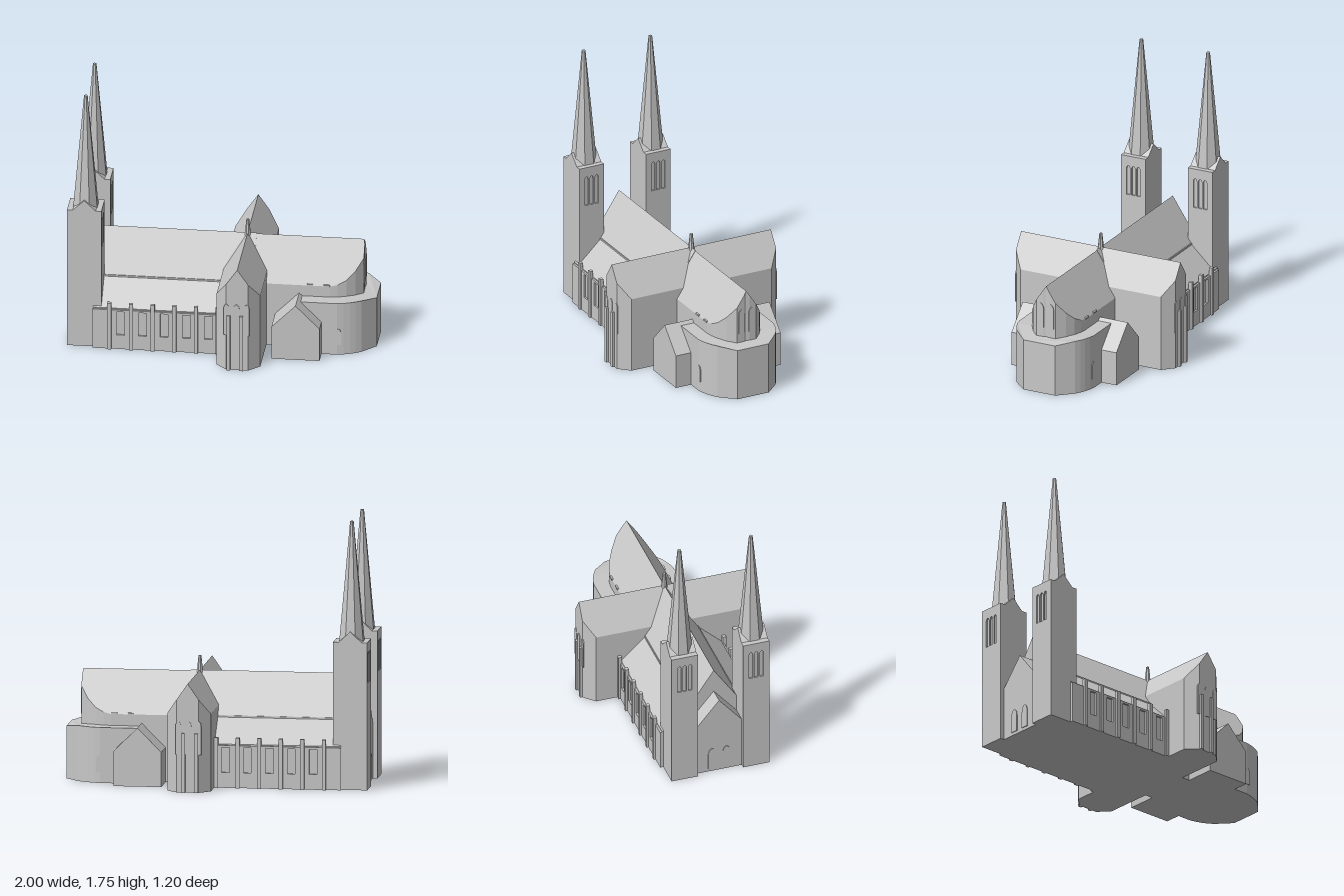
import * as THREE from 'three';

const stone = new THREE.MeshStandardMaterial({ color: 0xc8c8c8 });
stone.name = 'stone';

function add(parent, name, geo, x = 0, y = 0, z = 0, ry = 0) {
  const m = new THREE.Mesh(geo, stone);
  m.name = name;
  m.position.set(x, y, z);
  m.rotation.y = ry;
  parent.add(m);
  return m;
}

const box = (w, h, d) => new THREE.BoxGeometry(w, h, d);

// Solid standing on a floor plan of [x, z] points, its top cut by height(x, z)
function prism(plan, height) {
  const shape = new THREE.Shape(plan.map(([x, z]) => new THREE.Vector2(x, -z)));
  const g = new THREE.ExtrudeGeometry(shape, { depth: 1, bevelEnabled: false });
  g.rotateX(-Math.PI / 2);
  const p = g.attributes.position;
  for (let i = 0; i < p.count; i++) {
    if (p.getY(i) > 0.5) p.setY(i, height(p.getX(i), p.getZ(i)));
  }
  g.computeVertexNormals();
  return g;
}

// Rectangular or pointed-round window outline
function opening(x, w, y0, y1, arched, Kind = THREE.Path) {
  const r = w / 2, s = new Kind();
  s.moveTo(x - r, y0);
  s.lineTo(x + r, y0);
  if (arched) {
    s.lineTo(x + r, y1 - w);
    s.quadraticCurveTo(x + r, y1 - r * 0.4, x, y1);
    s.quadraticCurveTo(x - r, y1 - r * 0.4, x - r, y1 - w);
  } else {
    s.lineTo(x + r, y1);
    s.lineTo(x - r, y1);
  }
  s.closePath();
  return s;
}

// Upright wall slab with window recesses, centred on its thickness
function wall(outline, windows, depth) {
  const s = new THREE.Shape(outline.map(([x, y]) => new THREE.Vector2(x, y)));
  s.holes = windows.map((w) => opening(...w));
  const g = new THREE.ExtrudeGeometry(s, { depth, bevelEnabled: false, curveSegments: 4 });
  return g.translate(0, 0, -depth / 2);
}

// Thin raised window
const pane = (w, y0, y1) => new THREE.ExtrudeGeometry(
  opening(0, w, y0, y1, true, THREE.Shape), { depth: 0.008, bevelEnabled: false, curveSegments: 4 }
).translate(0, 0, -0.004);

function spire(r0, r1, h) {
  const g = new THREE.CylinderGeometry(r1, r0, h, 8).toNonIndexed();
  g.rotateY(Math.PI / 8);
  g.computeVertexNormals();
  return g.translate(0, h / 2, 0);
}

function makeTower(side) {
  const t = new THREE.Group();
  t.name = side > 0 ? 'frontTower' : 'backTower';
  t.position.set(-0.8875, 0, side * 0.245);
  const W = 0.1125, D = 0.09, H = 0.97, T = 0.01;
  add(t, 'towerCore', box(2 * W - 2 * T, H, 2 * D - 2 * T), 0, H / 2, 0);
  const gabled = [[-W, 0], [W, 0], [W, H], [0.075, H], [0, 1.04], [-0.075, H], [-W, H]];
  const plain = [[-D, 0], [D, 0], [D, H], [-D, H]];
  const pair = [-0.027, 0.027].map((x) => [x, 0.036, 0.7, 0.905, true]);
  const triple = [-0.037, 0, 0.037].map((x) => [x, 0.026, 0.7, 0.905, true]);
  for (const s of [-1, 1]) {
    add(t, 'towerGableWall', wall(gabled, pair, T), 0, 0, s * (D - T / 2));
    add(t, 'towerSideWall', wall(plain, triple, T), s * (W - T / 2), 0, 0, Math.PI / 2);
    // Cross roof between the gables
    add(t, 'towerRoof', prism([[0, -D], [s * 0.075, -D], [s * 0.075, D], [0, D]],
      (x) => 1.04 - 0.93 * Math.abs(x)));
  }
  add(t, 'towerSpire', spire(0.085, 0.012, 1.755 - H), 0, H, 0);
  return t;
}

export function createModel() {
  const g = new THREE.Group();
  g.name = 'church';
  const roof = (x, z) => 0.715 - 1.5 * Math.abs(z);

  for (const s of [-1, 1]) {
    g.add(makeTower(s));

    // Nave, west porch and choir, each built as two halves meeting at the ridge
    add(g, 'nave', prism([[-0.86, 0], [0.2, 0], [0.2, s * 0.178], [-0.86, s * 0.178]], roof));
    add(g, 'naveCornice', box(0.82, 0.012, 0.016), -0.41, 0.441, s * 0.176);
    add(g, 'westPorch', prism([[-0.97, 0], [-0.85, 0], [-0.85, s * 0.16], [-0.97, s * 0.16]],
      (x, z) => 0.55 - 1.2 * Math.abs(z)));
    add(g, 'porchDoor', pane(0.05, 0.02, 0.18), -0.972, 0, s * 0.05, Math.PI / 2);
    const choir = [[0.1, 0], [0.905, 0], [0.91, 0.02], [0.91, 0.07], [0.86, 0.12],
      [0.805, 0.155], [0.75, 0.173], [0.7, 0.18], [0.1, 0.18]].map(([x, z]) => [x, s * z]);
    const choirGeo = prism(choir, (x, z) => roof(x, z) - 0.005);
    add(g, 'choir', choirGeo);
    add(g, 'apseWindow', pane(0.045, 0.42, 0.59), 0.911, 0, s * 0.037, Math.PI / 2);
    for (const x of [0.57, 0.68]) add(g, 'roofVent', box(0.04, 0.01, 0.03), x, 0.445, s * 0.17);

    // Aisle with lean-to roof, window bays and buttresses
    add(g, 'aisle', prism([[-0.83, s * 0.17], [0.02, s * 0.17], [0.02, s * 0.343], [-0.83, s * 0.343]],
      (x, z) => 0.44 - 0.95 * (Math.abs(z) - 0.18)));
    const bays = [-0.648, -0.505, -0.362, -0.217, -0.073].map((x) => [x, 0.052, 0.1, 0.265, false]);
    add(g, 'aisleWall', wall([[-0.83, 0], [0.02, 0], [0.02, 0.278], [-0.83, 0.278]], bays, 0.013),
      0, 0, s * 0.3495);
    for (let i = 0; i < 6; i++) {
      add(g, 'aisleButtress', box(0.026, 0.33, 0.024), -0.72 + i * 0.1415, 0.165, s * 0.357);
    }

    // Transept arm with chamfered end, a half for each roof slope
    for (const k of [-1, 1]) {
      const plan = [[0, 0], [k * 0.1425, 0], [k * 0.1425, s * 0.515], [k * 0.072, s * 0.585], [0, s * 0.585]];
      add(g, 'transept', prism(plan, (x) => 0.715 - 1.44 * Math.abs(x)), 0.1425);
      add(g, 'transeptButtress', box(0.024, 0.39, 0.03), 0.1275 + k * 0.042, 0.195, s * 0.585);
      add(g, 'transeptSideWindow', pane(0.036, 0.25, 0.47), 0.1375 + k * 0.066, 0, s * 0.584);
    }
    add(g, 'transeptWindow', pane(0.04, 0.25, 0.47), 0.1375, 0, s * 0.585);

    // Gabled side chapel
    for (const k of [-1, 1]) {
      add(g, 'sideChapel', prism([[0, 0], [k * 0.157, 0], [k * 0.157, s * 0.385], [0, s * 0.385]],
        (x) => 0.385 - Math.abs(x)), 0.5);
    }
    add(g, 'ambulatoryWindow', pane(0.035, 0.07, 0.185), 0.767, 0, s * 0.273);
  }

  // Low ring around the apse
  const half = [[0.52, 0.275], [0.76, 0.275], [0.8, 0.266], [0.84, 0.252], [0.875, 0.235],
    [0.91, 0.213], [1, 0.115]];
  const ring = [...half, ...half.map(([x, z]) => [x, -z]).reverse()];
  add(g, 'ambulatory', prism(ring, (x) => (x > 0.95 ? 0.347 : 0.365)));

  // Small spire over the crossing
  add(g, 'crossingSpire', spire(0.024, 0.01, 0.14), 0.1425, 0.67, 0);
  return g;
}
